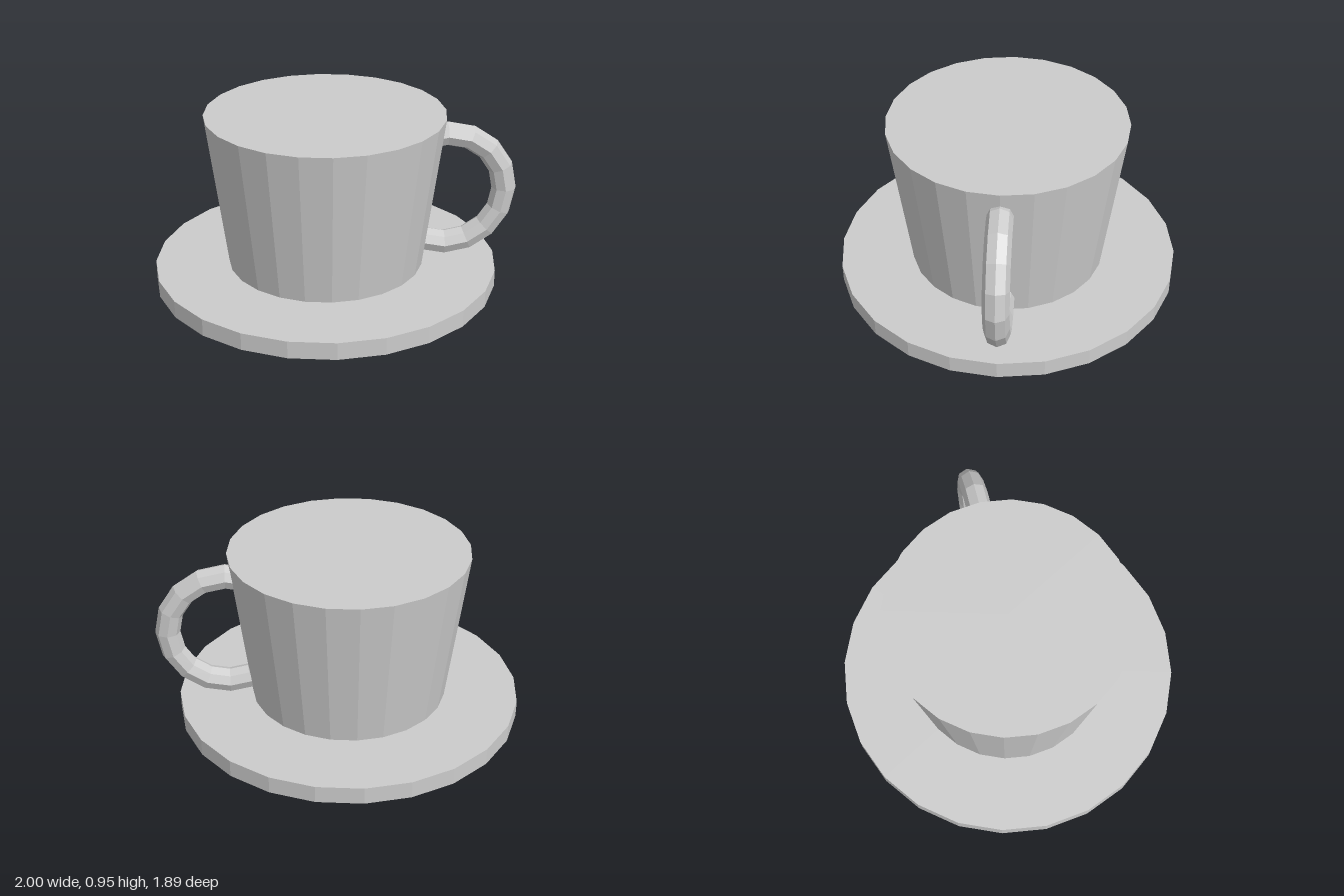
import * as THREE from 'three';

const SIDES = 24;
const AXIS_X = -0.055;      // shared centre line of cup and saucer
const SAUCER_HEIGHT = 0.095;
const CUP_TOP = 0.95;

export function createModel() {
  const model = new THREE.Group();
  model.name = 'cupAndSaucer';
  const material = new THREE.MeshStandardMaterial({ color: 0xcccccc, flatShading: true });

  function addPart(name, geometry, x, y) {
    const mesh = new THREE.Mesh(geometry, material);
    mesh.name = name;
    mesh.position.set(x, y, 0);
    model.add(mesh);
  }

  // Flat disc saucer
  addPart('saucer', new THREE.CylinderGeometry(0.945, 0.945, SAUCER_HEIGHT, SIDES), AXIS_X, SAUCER_HEIGHT / 2);

  // Solid tapered cup standing on the saucer
  const cupHeight = CUP_TOP - SAUCER_HEIGHT;
  addPart('cup', new THREE.CylinderGeometry(0.65, 0.54, cupHeight, SIDES), AXIS_X, SAUCER_HEIGHT + cupHeight / 2);

  // Ring handle, its ends buried in the cup wall
  const arc = Math.PI * 1.5;
  const handle = new THREE.TorusGeometry(0.325, 0.068, 8, 12, arc).rotateZ(-arc / 2);
  addPart('handle', handle, 0.607, 0.488);

  return model;
}
